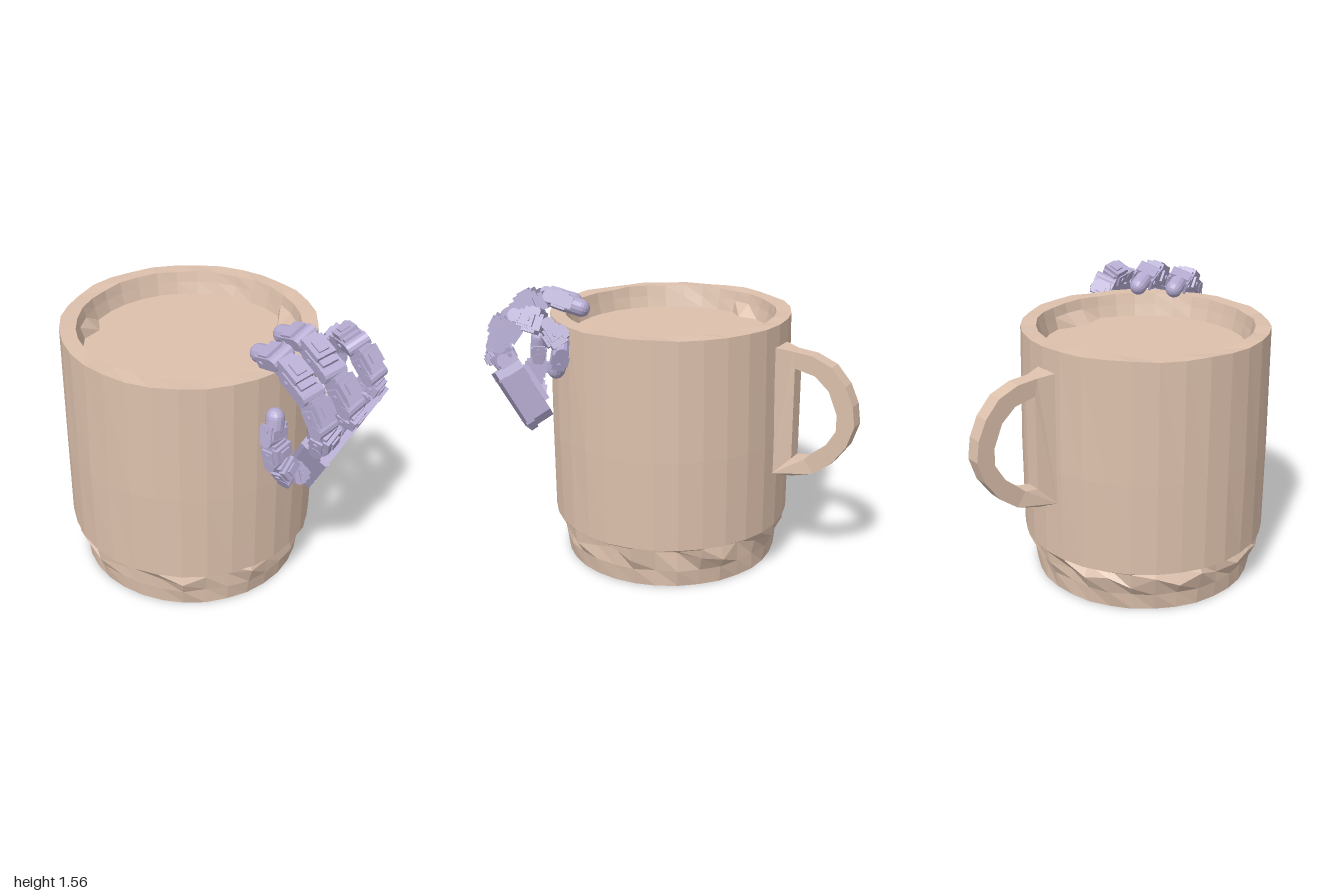
import * as THREE from 'three';

const clay = new THREE.MeshStandardMaterial({ color: 0xdcc0ac, flatShading: true });
const alloy = new THREE.MeshStandardMaterial({ color: 0xb6acd2, flatShading: true });
const V = (x, y, z) => new THREE.Vector3(x, y, z);
const hash = (i, j) => { const s = Math.sin(i * 127.1 + j * 311.7) * 43758.5453; return s - Math.floor(s); };

function add(parent, name, geometry, material, x = 0, y = 0, z = 0) {
  const m = new THREE.Mesh(geometry, material);
  m.name = name;
  m.position.set(x, y, z);
  parent.add(m);
  return m;
}
const box = (p, name, w, h, d, x, y, z) => add(p, name, new THREE.BoxGeometry(w, h, d), alloy, x, y, z);
function pin(p, name, r, len, x, y, z, axis) {
  const m = add(p, name, new THREE.CylinderGeometry(r, r, len, 12), alloy, x, y, z);
  if (axis === 'x') m.rotation.z = Math.PI / 2;
  if (axis === 'z') m.rotation.x = Math.PI / 2;
  return m;
}

// Faceted mug: stepped foot, tapered wall, thick rim and shallow filled interior
function makeMug() {
  const mug = new THREE.Group();
  mug.name = 'mug';
  const seg = 32;
  const rows = [[0, 0.008], [0.6, 0.005], [0.608, 0.1], [0.615, 0.185], [0.63, 0.243], [0.668, 0.25],
    [0.67, 0.75], [0.662, 1.398], [0.58, 1.398], [0.567, 1.34], [0.548, 1.275], [0, 1.275]];
  const g = new THREE.LatheGeometry(rows.map(r => new THREE.Vector2(...r)), seg);
  const p = g.attributes.position;
  for (let k = 0; k < p.count; k++) {
    const i = Math.floor(k / rows.length) % seg, j = k % rows.length, h = hash(i, j);
    let s = 1 + (h - 0.5) * 0.008, dy = 0;
    if (j === 2) s = 0.985 + h * 0.04;
    if (j === 3) { s = h > 0.6 ? 1.06 : 0.97 + h * 0.06; dy = (hash(j, i) - 0.5) * 0.06; }   // chipped foot
    if (j === 4) s = h > 0.5 ? 1.05 : 0.98;
    if (j === 10 && h < 0.1) s = 0.9;                                                      // chips inside
    if (j > 6 && j < 9) dy = (h - 0.5) * 0.01;
    p.setXYZ(k, p.getX(k) * s, p.getY(k) + dy, p.getZ(k) * s);
  }
  g.computeVertexNormals();
  add(mug, 'cup', g, clay, -0.137, 0, 0.105);

  // D-shaped handle, drawn in (distance behind, height)
  const pts = a => a.map(q => new THREE.Vector2(...q));
  const d = new THREE.Shape(pts([[0.555, 0.57], [0.66, 0.57], [0.78, 0.605], [0.88, 0.68], [0.96, 0.79], [1, 0.91],
    [0.985, 1.02], [0.94, 1.12], [0.86, 1.21], [0.75, 1.255], [0.64, 1.265], [0.555, 1.28]]));
  d.holes.push(new THREE.Path(pts([[0.655, 0.67], [0.73, 0.68], [0.84, 0.77], [0.9, 0.87], [0.9, 0.96],
    [0.85, 1.08], [0.77, 1.15], [0.655, 1.175]])));
  const hg = new THREE.ExtrudeGeometry(d, { depth: 0.084, bevelEnabled: false });
  hg.translate(0, 0, -0.042);
  const hp = hg.attributes.position;
  for (let k = 0; k < hp.count; k++) if (hp.getX(k) < 0.6) hp.setZ(k, hp.getZ(k) * 1.7);   // flared root
  hg.computeVertexNormals();
  add(mug, 'handle', hg, clay, -0.165, 0, 0).rotation.y = Math.PI / 2;
  return mug;
}

// Axes of the palm: across, up and outward
const across = V(0.36, 0.147, -0.345).normalize();
const outward = new THREE.Vector3().crossVectors(across, V(0.058, 0.295, 0.175)).normalize();
const upward = new THREE.Vector3().crossVectors(outward, across);

function makePalm() {
  const palm = new THREE.Group();
  palm.name = 'palm';
  palm.quaternion.setFromRotationMatrix(new THREE.Matrix4().makeBasis(across, upward, outward));
  palm.position.set(0.38, 0.757, 0.75);
  const outline = [[0, 0], [0.44, 0], [0.48, 0.04], [0.53, 0.31], [0.525, 0.355], [-0.04, 0.34]];
  const s = new THREE.Shape(outline.map(q => new THREE.Vector2(...q)));
  const shell = depth => new THREE.ExtrudeGeometry(s, { depth, bevelEnabled: false });
  add(palm, 'backPlate', shell(0.04), alloy, 0, 0, -0.04);
  const inner = add(palm, 'palmBody', shell(0.1), alloy, 0.015, 0.01, -0.14);
  inner.scale.set(0.94, 0.95, 1);
  for (const [x, y] of [[0.03, 0.04], [0.43, 0.04], [0.48, 0.3], [0.0, 0.3]])
    pin(palm, 'screw', 0.01, 0.008, x, y, 0, 'z');
  // Motor blocks and hinge lugs along the knuckle edge
  [0.06, 0.25, 0.44].forEach(x => {
    box(palm, 'motorBlock', 0.12, 0.09, 0.1, x, 0.36, -0.09);
    box(palm, 'palmPad', 0.12, 0.2, 0.03, x, 0.2, -0.15);
    for (const e of [-0.07, 0.07]) pin(palm, 'hingeLug', 0.035, 0.018, x + e, 0.385, -0.07, 'x');
  });
  return palm;
}

// One finger link: core, side plates, hinge, cover and small hardware
function makeLink(a, b, w, hinge, last) {
  const dir = b.clone().sub(a), len = dir.length();
  dir.normalize();
  const x = hinge.clone().addScaledVector(dir, -hinge.dot(dir)).normalize();
  const z = new THREE.Vector3().crossVectors(x, dir);
  const link = new THREE.Group();
  link.name = last ? 'fingertip' : 'fingerLink';
  link.quaternion.setFromRotationMatrix(new THREE.Matrix4().makeBasis(x, dir, z));
  link.position.copy(a);
  pin(link, 'hinge', w * 0.32, w * 1.12, 0, 0, 0, 'x');
  if (last) {
    box(link, 'tipBase', w * 0.95, len * 0.4, w * 0.8, 0, len * 0.3, 0);
    const r = w * 0.42;
    add(link, 'roundedTip', new THREE.CapsuleGeometry(r, len * 0.5, 5, 14), alloy, 0, len * 0.65, 0);
  } else {
    box(link, 'core', w * 0.78, len * 0.8, w * 0.8, 0, len * 0.5, 0);
    box(link, 'cover', w * 0.95, len * 0.52, w * 0.3, 0, len * 0.52, w * 0.42);
    box(link, 'coverRib', w * 0.5, len * 0.3, w * 0.12, 0, len * 0.52, w * 0.6);
    box(link, 'innerPad', w * 0.6, len * 0.45, w * 0.2, 0, len * 0.5, -w * 0.45);
  }
  for (const e of [-1, 1]) {
    box(link, 'sidePlate', w * 0.12, len * 0.7, w * 0.6, e * w * 0.48, len * 0.3, 0);
    pin(link, 'bolt', w * 0.12, w * 0.1, e * w * 0.55, len * 0.45, 0, 'x');
  }
  return link;
}

function makeFinger(name, path, w, hinge) {
  const finger = new THREE.Group();
  finger.name = name;
  const p = path.map(q => V(...q));
  for (let i = 0; i + 1 < p.length; i++)
    finger.add(makeLink(p[i], p[i + 1], w, hinge, i === p.length - 2));
  return finger;
}

function makeHand() {
  const hand = new THREE.Group();
  hand.name = 'robotHand';
  hand.add(makePalm());
  hand.add(makeFinger('firstFinger',
    [[0.40, 1.1, 0.86], [0.39, 1.23, 0.91], [0.33, 1.38, 0.85], [0.22, 1.485, 0.68], [0.14, 1.44, 0.54]], 0.115, across));
  hand.add(makeFinger('middleFinger',
    [[0.54, 1.15, 0.74], [0.55, 1.26, 0.8], [0.46, 1.42, 0.73], [0.36, 1.51, 0.55], [0.28, 1.45, 0.39]], 0.115, across));
  hand.add(makeFinger('outerFinger',
    [[0.67, 1.21, 0.6], [0.7, 1.32, 0.63], [0.62, 1.46, 0.56], [0.59, 1.43, 0.4], [0.58, 1.32, 0.32], [0.565, 1.18, 0.38]], 0.11, across));
  hand.add(makeFinger('thumb',
    [[0.36, 0.88, 0.74], [0.27, 0.87, 0.77], [0.2, 0.98, 0.79], [0.18, 1.11, 0.79], [0.19, 1.23, 0.77]], 0.11, V(0.75, 0, -0.6).normalize()));
  return hand;
}

export function createModel() {
  const model = new THREE.Group();
  model.name = 'mugWithRobotHand';
  model.add(makeMug(), makeHand());
  return model;
}
